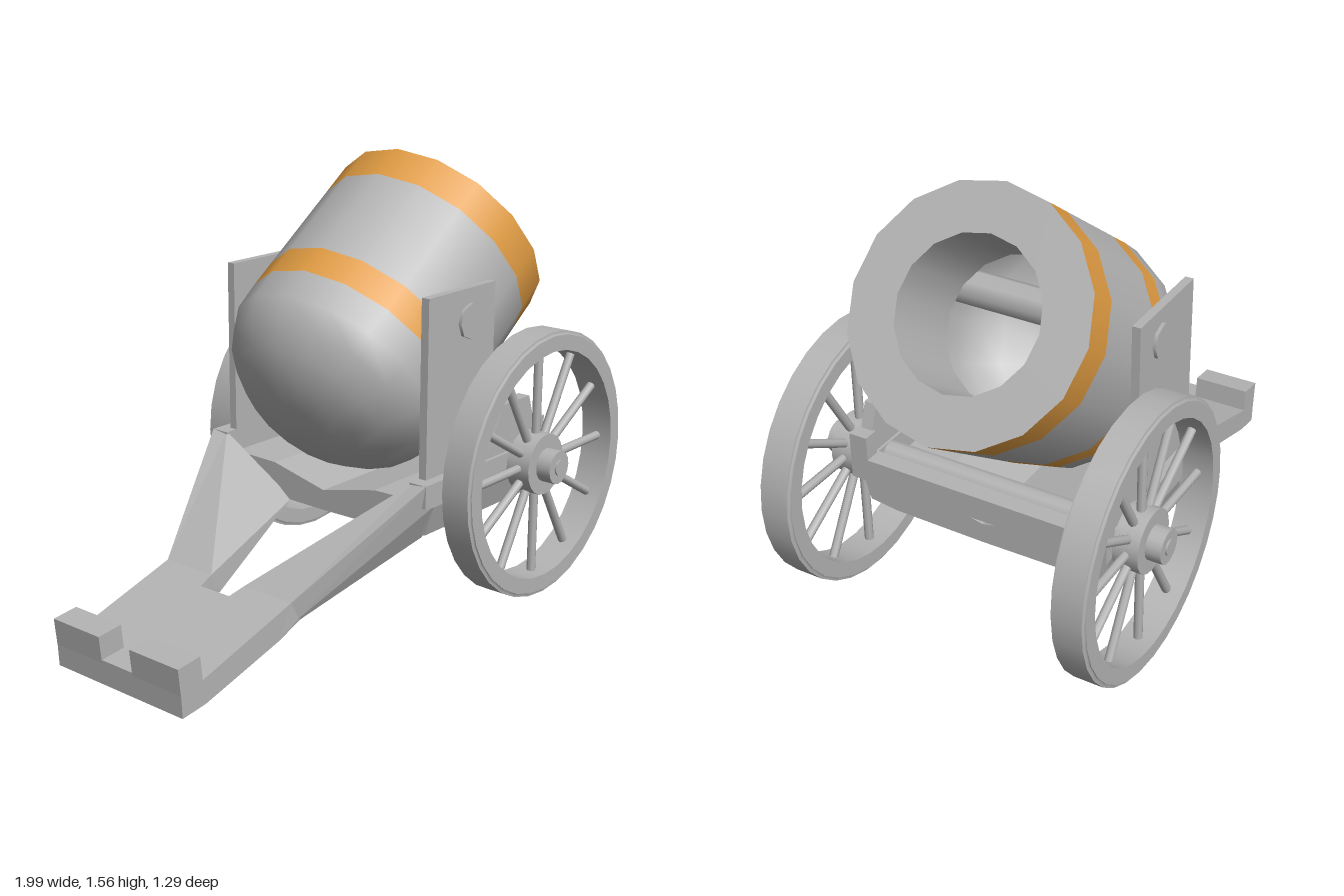
import * as THREE from 'three';

const iron = new THREE.MeshStandardMaterial({ color: 0xb4b4b4, side: THREE.DoubleSide });
iron.name = 'grey iron';
const brass = new THREE.MeshStandardMaterial({ color: 0xdf9b42, side: THREE.DoubleSide });
brass.name = 'orange brass';

function add(parent, name, geometry, x = 0, y = 0, z = 0, material = iron) {
  const mesh = new THREE.Mesh(geometry, material);
  mesh.name = name;
  mesh.position.set(x, y, z);
  parent.add(mesh);
  return mesh;
}

const vectors = (pairs) => pairs.map(([x, y]) => new THREE.Vector2(x, y));

// box given by its limits on each axis
function block(parent, name, x0, x1, y0, y1, z0, z1) {
  return add(parent, name, new THREE.BoxGeometry(x1 - x0, y1 - y0, Math.abs(z1 - z0)),
    (x0 + x1) / 2, (y0 + y1) / 2, (z0 + z1) / 2);
}

// side outline (x, y) given a thickness between two z limits
function slab(parent, name, outline, z0, z1) {
  const geometry = new THREE.ExtrudeGeometry(new THREE.Shape(vectors(outline)),
    { depth: z1 - z0, bevelEnabled: false });
  return add(parent, name, geometry, 0, 0, z0);
}

// cylinder lying along z
function rod(parent, name, radius, z0, z1, sides) {
  const geometry = new THREE.CylinderGeometry(radius, radius, Math.abs(z1 - z0), sides);
  geometry.rotateX(Math.PI / 2);
  return add(parent, name, geometry, 0, 0, (z0 + z1) / 2);
}

// flat-faced solid through matching cross-sections of [x, y, z] corners
function loft(sections, flip) {
  const out = [];
  const n = sections[0].length;
  const tri = (a, b, c) => out.push(...a, ...(flip ? c : b), ...(flip ? b : c));
  for (let i = 0; i < sections.length - 1; i++) {
    for (let j = 0; j < n; j++) {
      const k = (j + 1) % n;
      const [a, b, c, d] = [sections[i][j], sections[i][k], sections[i + 1][k], sections[i + 1][j]];
      tri(a, c, b);
      tri(a, d, c);
    }
  }
  const last = sections[sections.length - 1];
  for (let j = 1; j < n - 1; j++) {
    tri(sections[0][0], sections[0][j], sections[0][j + 1]);
    tri(last[0], last[j + 1], last[j]);
  }
  const geometry = new THREE.BufferGeometry();
  geometry.setAttribute('position', new THREE.Float32BufferAttribute(out, 3));
  geometry.computeVertexNormals();
  return geometry;
}

function createBarrel() {
  const barrel = new THREE.Group();
  barrel.name = 'barrel';
  const turned = (name, points, material) =>
    add(barrel, name, new THREE.LatheGeometry(vectors(points), 16), 0, 0, 0, material);
  // [radius, height below the muzzle]
  turned('breechDome', [[0, -0.965], [0.12, -0.957], [0.225, -0.925], [0.31, -0.871],
    [0.38, -0.8], [0.415, -0.72], [0.42, -0.61]]);
  turned('breechBand', [[0.42, -0.61], [0.42, -0.5]], brass);
  turned('barrelWall', [[0.42, -0.5], [0.42, -0.13]]);
  turned('muzzleBand', [[0.42, -0.13], [0.42, 0]], brass);
  turned('muzzleFace', [[0.42, 0], [0.254, 0]]);
  turned('bore', [[0.254, 0], [0.254, -0.345]]);
  barrel.position.set(0.645, 1.225, 0);
  barrel.rotation.z = -Math.atan2(0.812, 0.584);
  return barrel;
}

function createWheel(side) {
  const wheel = new THREE.Group();
  wheel.name = side > 0 ? 'frontWheel' : 'backWheel';
  // rim with small chamfers, flat shaded across its edges
  const rimParts = [
    [[0.465, -0.06], [0.465, -0.052], [0.478, -0.052]],
    [[0.478, -0.052], [0.478, 0.052]],
    [[0.478, 0.052], [0.465, 0.052], [0.465, 0.06]],
    [[0.465, 0.06], [0.41, 0.06]],
    [[0.41, 0.06], [0.41, -0.06]],
    [[0.41, -0.06], [0.465, -0.06]],
  ];
  for (const part of rimParts) {
    const geometry = new THREE.LatheGeometry(vectors(part), 32);
    geometry.rotateX(Math.PI / 2);
    add(wheel, 'rim', geometry);
  }
  for (let i = 0; i < 12; i++) {
    const geometry = new THREE.CylinderGeometry(0.016, 0.016, 0.35, 8);
    geometry.translate(0, 0.25, 0);
    add(wheel, 'spoke', geometry).rotation.z = i * Math.PI / 6;
  }
  rod(wheel, 'hub', 0.11, -0.045, 0.045, 20);
  rod(wheel, 'hubCap', 0.06, side * 0.03, side * 0.1, 16);
  rod(wheel, 'axleEnd', 0.028, side * 0.09, side * 0.106, 12);
  wheel.position.set(0.516, 0.5, side * 0.541);
  return wheel;
}

export function createModel() {
  const model = new THREE.Group();
  model.name = 'mortarCannon';
  model.add(createBarrel());

  const trunnion = rod(model, 'trunnion', 0.062, -0.462, 0.462, 8);
  trunnion.position.set(0.225, 1.05, 0);
  const axle = rod(model, 'axle', 0.045, -0.55, 0.55, 12);
  axle.position.set(0.516, 0.5, 0);

  // dished bed, drawn across the carriage and stretched along it
  const bedHalf = [[0.23, 0.46], [0.485, 0.465], [0.45, 0.35], [0.34, 0.337]];
  const bedOutline = [[0, 0.407], ...bedHalf, [0, 0.333],
    ...bedHalf.map(([z, y]) => [-z, y]).reverse()];
  const bed = new THREE.ExtrudeGeometry(new THREE.Shape(vectors(bedOutline)),
    { depth: 0.6, bevelEnabled: false });
  bed.rotateY(Math.PI / 2);
  add(model, 'bed', bed);
  block(model, 'frontTransom', 0.58, 0.645, 0.458, 0.545, -0.43, 0.43);

  // trail plate with two heel blocks
  slab(model, 'trailPlate', [[-0.985, 0.003], [-0.885, 0.015], [-0.55, 0.107], [-0.55, 0.202],
    [-0.895, 0.1], [-0.99, 0.09]], -0.285, 0.285);

  for (const side of [1, -1]) {
    const span = (a, b) => (side > 0 ? [a, b] : [-b, -a]);
    model.add(createWheel(side));
    slab(model, 'heelBlock', [[-0.99, 0.08], [-0.895, 0.09], [-0.905, 0.182], [-1, 0.172]],
      ...span(0.07, 0.285));
    // upright cheek, side rail with a raised front end, axle bracket
    block(model, 'cheekPlate', 0, 0.37, 0.5, 1.163, side * 0.42, side * 0.45);
    slab(model, 'sideRail', [[0, 0.46], [0.645, 0.46], [0.645, 0.632], [0.59, 0.632],
      [0.59, 0.545], [-0.05, 0.545], [-0.05, 0.465]], ...span(0.42, 0.488));
    slab(model, 'axleBracket', [[0.3, 0.5], [0.62, 0.5], [0.62, 0.56], [0.565, 0.72],
      [0.41, 0.72], [0.3, 0.545]], ...span(0.43, 0.475));

    // trail leg: inner bottom, outer bottom, outer middle, outer top, inner top
    const sections = [
      [[-0.55, 0.107, 0.065], [-0.55, 0.107, 0.285], [-0.55, 0.11, 0.285],
        [-0.55, 0.202, 0.285], [-0.55, 0.202, 0.065]],
      [[-0.446, 0.148, 0.075], [-0.446, 0.148, 0.285], [-0.455, 0.155, 0.287],
        [-0.49, 0.22, 0.285], [-0.49, 0.22, 0.075]],
      [[0.01, 0.336, 0.16], [0.01, 0.337, 0.43], [0, 0.465, 0.488],
        [-0.05, 0.545, 0.488], [-0.04, 0.545, 0.43]],
    ].map((ring) => ring.map(([x, y, z]) => [x, y, z * side]));
    add(model, 'trailLeg', loft(sections, side > 0));
  }
  return model;
}
